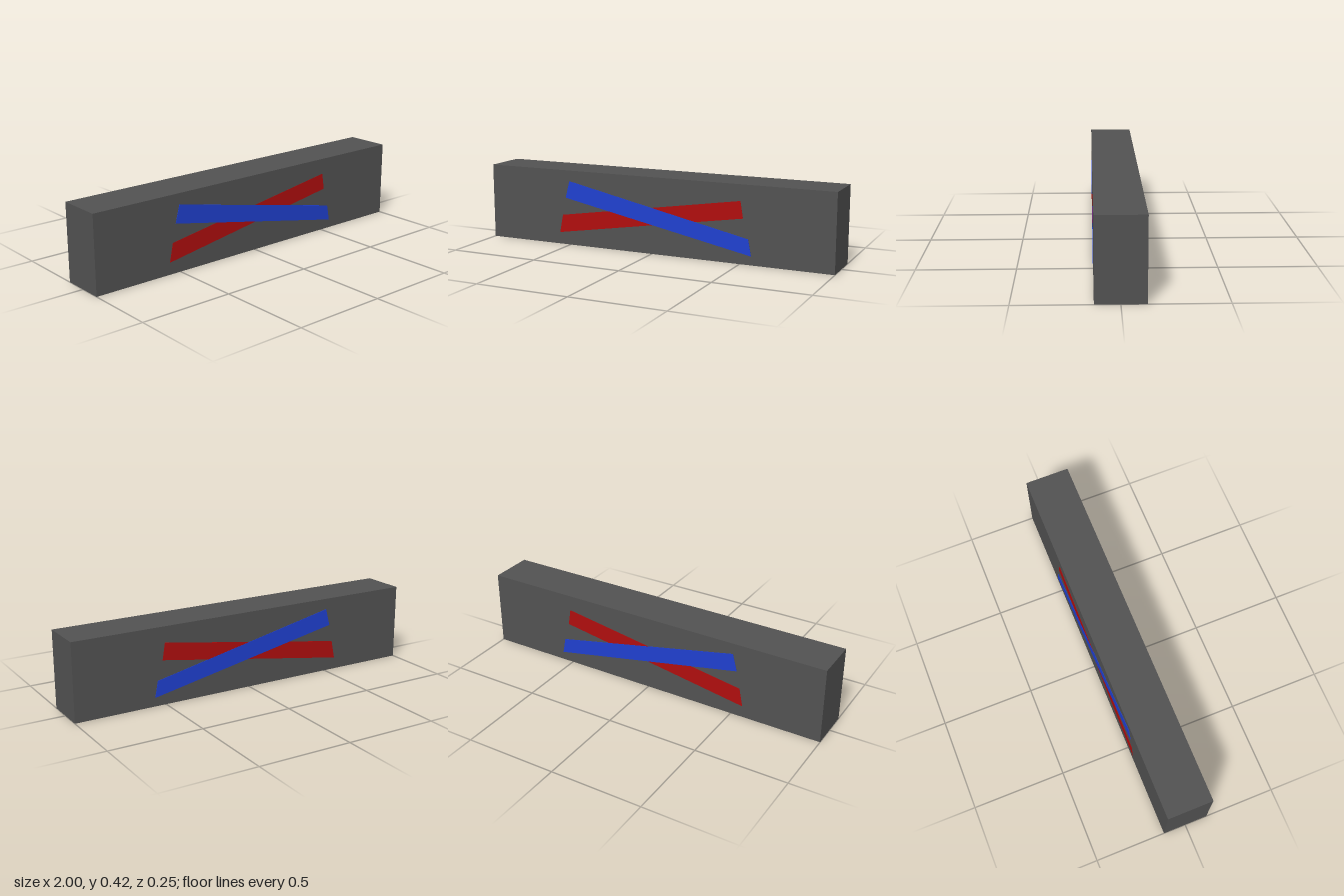
import * as THREE from 'three';

const WIDTH = 2, HEIGHT = 0.416, DEPTH = 0.242;

function material(name, color) {
  const m = new THREE.MeshStandardMaterial({ color });
  m.name = name;
  return m;
}

export function createModel() {
  const group = new THREE.Group();
  group.name = 'crossedStripeBlock';

  const grey = material('dark grey', 0x525252);
  const red = material('red', 0xb00e0e);
  const blue = material('blue', 0x2040d0);

  // Solid block
  const block = new THREE.Mesh(new THREE.BoxGeometry(WIDTH, HEIGHT, DEPTH), grey);
  block.name = 'block';
  block.position.y = HEIGHT / 2;
  group.add(block);

  // Painted stripes, counter-clockwise corners; blue lies over red
  const stripes = [
    { name: 'redStripe', mat: red, thickness: 0.001,
      corners: [[-0.565, 0.065], [0.515, 0.24], [0.5, 0.33], [-0.545, 0.165]] },
    { name: 'blueStripe', mat: blue, thickness: 0.002,
      corners: [[-0.525, 0.263], [0.562, 0.047], [0.545, 0.135], [-0.5, 0.357]] },
  ];

  for (const { name, mat, thickness, corners } of stripes) {
    const shape = new THREE.Shape(corners.map(([x, y]) => new THREE.Vector2(x, y)));
    const geometry = new THREE.ExtrudeGeometry(shape, { depth: thickness, bevelEnabled: false });

    // The same outline shows on the front and the back
    const front = new THREE.Mesh(geometry, mat);
    front.name = name + 'Front';
    front.position.z = DEPTH / 2;
    const back = new THREE.Mesh(geometry, mat);
    back.name = name + 'Back';
    back.position.z = -DEPTH / 2 - thickness;
    group.add(front, back);
  }

  return group;
}
